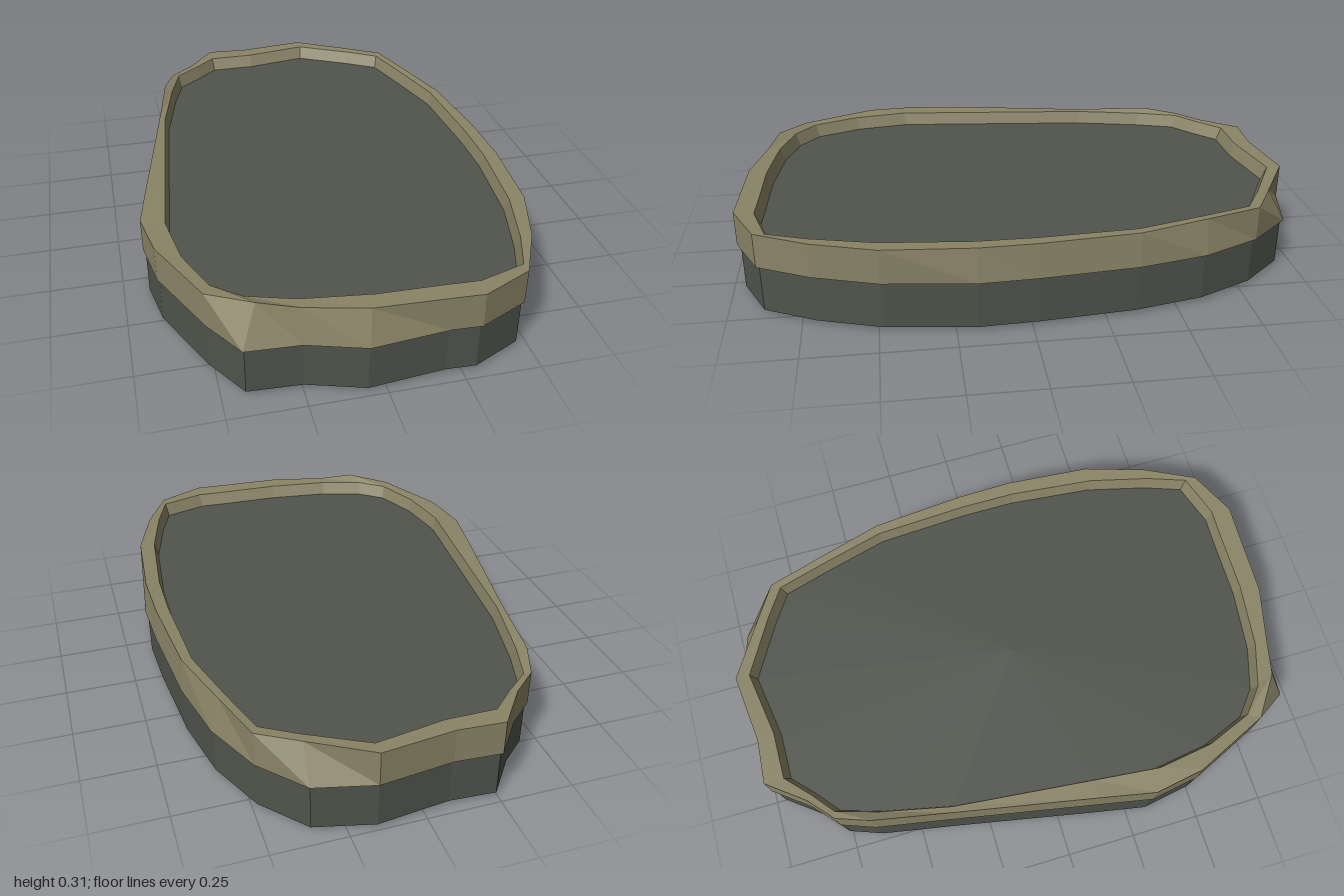
import * as THREE from 'three';

// Outline, clockwise from above: outer x, outer z, inner x, inner z
const OUTLINE = [
  [-0.25, -0.98, -0.25, -0.91], [-0.09, -0.97, -0.08, -0.91], [0.16, -1.0, 0.16, -0.95],
  [0.36, -0.95, 0.36, -0.84], [0.49, -0.8, 0.47, -0.77], [0.58, -0.6, 0.52, -0.6],
  [0.63, -0.36, 0.585, -0.36], [0.66, -0.02, 0.605, -0.02], [0.668, 0.18, 0.605, 0.18],
  [0.63, 0.49, 0.575, 0.49], [0.56, 0.71, 0.52, 0.71], [0.47, 0.89, 0.47, 0.85],
  [0.3, 0.97, 0.31, 0.9], [0.2, 0.965, 0.2, 0.895], [-0.06, 0.99, -0.02, 0.89],
  [-0.25, 0.93, -0.25, 0.86], [-0.43, 0.92, -0.405, 0.81], [-0.52, 0.775, -0.495, 0.735],
  [-0.64, 0.51, -0.56, 0.57], [-0.67, 0.33, -0.59, 0.37], [-0.632, 0.13, -0.566, 0.13],
  [-0.537, -0.37, -0.515, -0.37], [-0.485, -0.65, -0.46, -0.62], [-0.44, -0.77, -0.415, -0.765],
  [-0.35, -0.85, -0.33, -0.835],
];

// Chipped places along the top edge of the rim: index -> x, y, z
const CHIPS = {
  3: [0.36, 0.3, -0.88], 5: [0.55, 0.3, -0.6], 6: [0.62, 0.3, -0.36], 7: [0.65, 0.3, -0.02],
  8: [0.655, 0.3, 0.18], 14: [-0.05, 0.3, 0.955], 15: [-0.25, 0.3, 0.905],
  16: [-0.38, 0.315, 0.87], 19: [-0.67, 0.294, 0.33], 22: [-0.485, 0.312, -0.65],
};

const outer = (y, s = 1) => OUTLINE.map(([x, z]) => [x * s, y, z * s]);
const inner = (y, s = 1) => OUTLINE.map(([, , x, z]) => [x * s, y, z * s]);
const centre = (y) => OUTLINE.map(() => [0, y, 0]);

// Joins consecutive rings with flat-shaded faces
function loft(rings) {
  const pos = [];
  for (let r = 0; r < rings.length - 1; r++) {
    const lo = rings[r], hi = rings[r + 1];
    lo.forEach((a, i) => {
      const j = (i + 1) % lo.length;
      pos.push(...a, ...hi[i], ...hi[j], ...a, ...hi[j], ...lo[j]);
    });
  }
  const g = new THREE.BufferGeometry();
  g.setAttribute('position', new THREE.Float32BufferAttribute(pos, 3));
  g.computeVertexNormals();
  return g;
}

export function createModel() {
  const group = new THREE.Group();
  group.name = 'stoneSlab';
  const stone = new THREE.MeshStandardMaterial({ color: 0x50544c });
  stone.name = 'dark stone';
  const sand = new THREE.MeshStandardMaterial({ color: 0x8a8466 });
  sand.name = 'olive tan';

  const add = (name, geometry, material) => {
    const mesh = new THREE.Mesh(geometry, material);
    mesh.name = name;
    group.add(mesh);
  };

  // Base with a slight dip under its left edge
  const foot = outer(0.012, 0.988);
  foot[20][1] = 0;
  foot[19][1] = 0.005;
  add('base', loft([centre(0.012), foot, outer(0.18, 0.988)]), stone);

  // Raised rim overhanging the base
  const top = outer(0.3).map((p, i) => CHIPS[i] ?? p);
  add('rim', loft([outer(0.178, 0.985), outer(0.178), top, inner(0.298), inner(0.25, 0.98)]), sand);

  // Sunken floor inside the rim
  add('floor', loft([inner(0.25, 0.982), centre(0.25)]), stone);
  return group;
}
